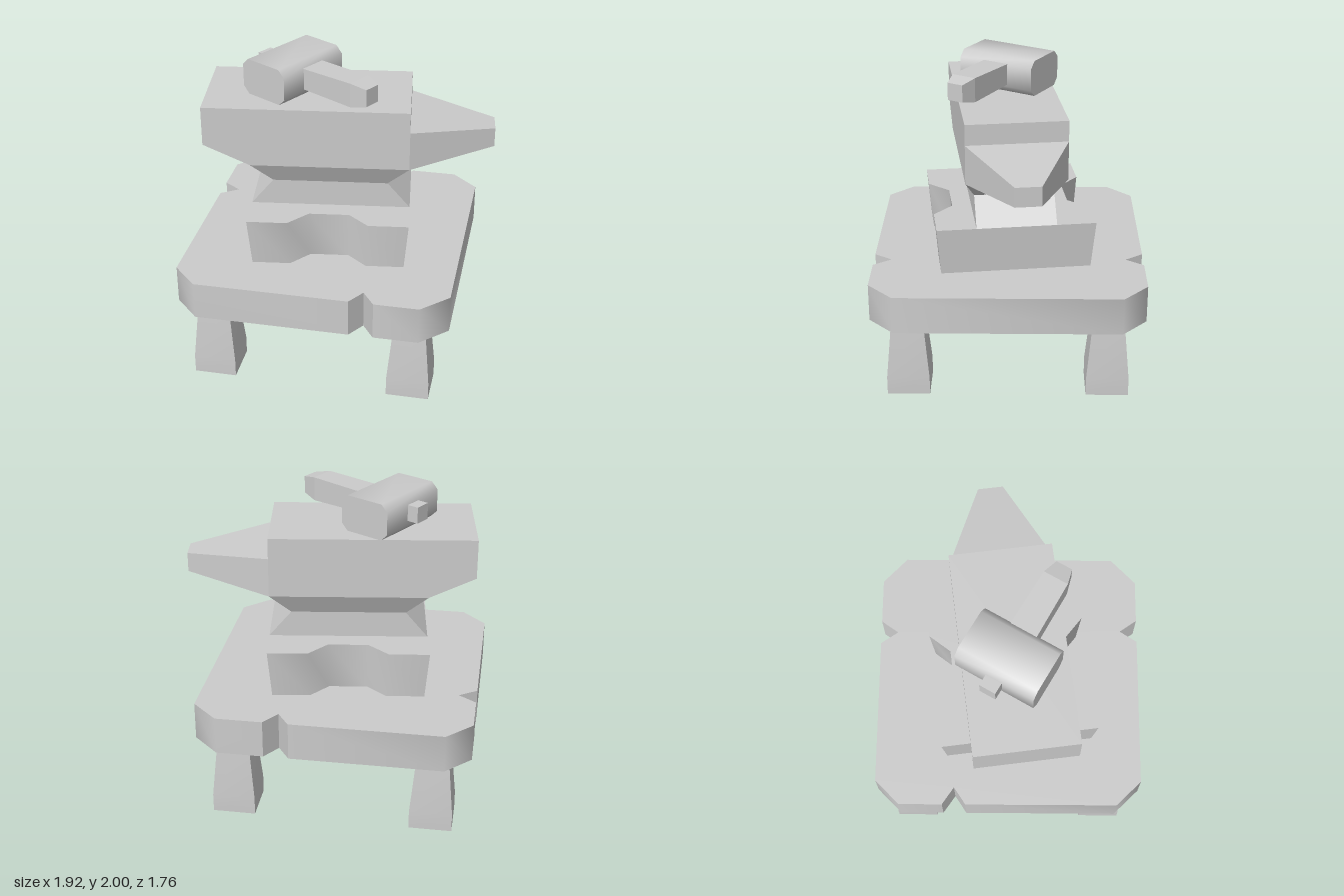
import * as THREE from 'three';
import { toCreasedNormals } from 'three/addons/utils/BufferGeometryUtils.js';

const grey = new THREE.MeshStandardMaterial({ color: 0xcccccc });
const CREASE = THREE.MathUtils.degToRad(50);

function add(parent, name, geometry) {
  const mesh = new THREE.Mesh(geometry, grey);
  mesh.name = name;
  parent.add(mesh);
  return mesh;
}

// Closed solid through four-cornered rings, ordered counter-clockwise about the sweep axis
function loft(rings, crease = 0.1) {
  const positions = rings.flat(2);
  const index = [];
  const quad = (a, b, c, d) => index.push(a, b, c, a, c, d);
  for (let r = 0; r < rings.length - 1; r++) {
    for (let i = 0; i < 4; i++) {
      const a = r * 4 + i, b = r * 4 + (i + 1) % 4;
      quad(a, b, b + 4, a + 4);
    }
  }
  const t = (rings.length - 1) * 4;
  quad(3, 2, 1, 0);
  quad(t, t + 1, t + 2, t + 3);
  const geometry = new THREE.BufferGeometry();
  geometry.setAttribute('position', new THREE.Float32BufferAttribute(positions, 3));
  geometry.setIndex(index);
  return toCreasedNormals(geometry, crease);
}

// Rings for a vertical and for a lengthwise sweep
const level = (y, x0, x1, hz) => [[x0, y, hz], [x1, y, hz], [x1, y, -hz], [x0, y, -hz]];
const station = (x, y0, y1, hz) => [[x, y0, hz], [x, y0, -hz], [x, y1, -hz], [x, y1, hz]];

// Upright slab from an outline of [x, z] points
function slab(outline, y0, y1) {
  const shape = new THREE.Shape(outline.map(([x, z]) => new THREE.Vector2(x, -z)));
  return new THREE.ExtrudeGeometry(shape, { depth: y1 - y0, bevelEnabled: false })
    .rotateX(-Math.PI / 2).translate(0, y0, 0);
}

function createTable() {
  const table = new THREE.Group();
  table.name = 'table';
  // Top with cut corners and three split notches
  const outline = [
    [-0.96, -0.72], [-0.8, -0.88], [0.17, -0.88], [0.25, -0.765], [0.33, -0.88], [0.63, -0.88],
    [0.8, -0.72], [0.8, 0.715], [0.63, 0.88], [0.345, 0.88], [0.265, 0.765], [0.19, 0.88],
    [-0.8, 0.88], [-0.96, 0.715], [-0.96, -0.28], [-0.845, -0.357], [-0.96, -0.435],
  ];
  add(table, 'tableTop', toCreasedNormals(slab(outline, 0.51, 0.757), CREASE));
  // Tapered legs
  const legShape = loft([
    level(0, -0.137, 0.137, 0.137), level(0.12, -0.137, 0.137, 0.137), level(0.52, -0.1, 0.1, 0.1),
  ], CREASE);
  for (const x of [-0.72, 0.555]) {
    for (const z of [-0.64, 0.64]) add(table, 'leg', legShape).position.set(x, 0, z);
  }
  return table;
}

function createAnvil() {
  const anvil = new THREE.Group();
  anvil.name = 'anvil';
  anvil.position.set(-0.2275, 0, 0.03);
  anvil.rotation.y = THREE.MathUtils.degToRad(7.5);

  // Foot: one notched long side, mirrored, narrowing downward
  const side = [[-0.512, 0.51], [-0.255, 0.51], [-0.126, 0.382], [0.131, 0.382], [0.256, 0.51], [0.512, 0.51]];
  const outline = [...side, ...side.map(([x, z]) => [x, -z]).reverse()];
  const foot = slab(outline, 0.75, 1.07);
  const p = foot.attributes.position;
  for (let i = 0; i < p.count; i++) {
    const s = p.getY(i) < 0.9 ? 0.948 : 1;
    p.setXYZ(i, p.getX(i) * s, p.getY(i), p.getZ(i) * s);
  }
  add(anvil, 'anvilFoot', toCreasedNormals(foot, CREASE)).position.x = 0.146;

  // Waist and body with an overhanging heel
  add(anvil, 'anvilBody', loft([
    level(1.07, -0.36, 0.658, 0.257), level(1.24, -0.218, 0.514, 0.257),
    level(1.375, -0.356, 0.65, 0.323), level(1.51, -0.65, 0.65, 0.323),
    level(1.765, -0.65, 0.65, 0.323),
  ]));
  // Tapering horn
  add(anvil, 'anvilHorn', loft([
    station(0.65, 1.375, 1.63, 0.323), station(1.185, 1.44, 1.565, 0.081),
  ]));
  return anvil;
}

function createHammer() {
  const hammer = new THREE.Group();
  hammer.name = 'hammer';
  hammer.position.set(-0.34, 0, 0.004);
  hammer.rotation.y = THREE.MathUtils.degToRad(-30);

  // Head: block with chamfered long edges
  const w = 0.176, h = 0.1175, c = 0.045, length = 0.535;
  const section = [
    [-w, -h + c], [-w + c, -h], [w - c, -h], [w, -h + c],
    [w, h - c], [w - c, h], [-w + c, h], [-w, h - c],
  ].map(([x, y]) => new THREE.Vector2(x, y));
  const head = new THREE.ExtrudeGeometry(new THREE.Shape(section), { depth: length, bevelEnabled: false })
    .translate(0, 1.8825, -length / 2);
  add(hammer, 'hammerHead', toCreasedNormals(head, CREASE));

  // Handle with a narrowed grip end, and its stub behind the head
  add(hammer, 'hammerHandle', loft([
    station(0.1, 1.825, 1.96, 0.09), station(0.552, 1.815, 1.972, 0.082), station(0.657, 1.838, 1.95, 0.054),
  ]));
  add(hammer, 'handleStub', loft([
    station(-0.251, 1.84, 1.945, 0.054), station(-0.15, 1.84, 1.945, 0.054),
  ]));
  return hammer;
}

export function createModel() {
  const model = new THREE.Group();
  model.name = 'anvilOnTable';
  model.add(createTable(), createAnvil(), createHammer());
  return model;
}
